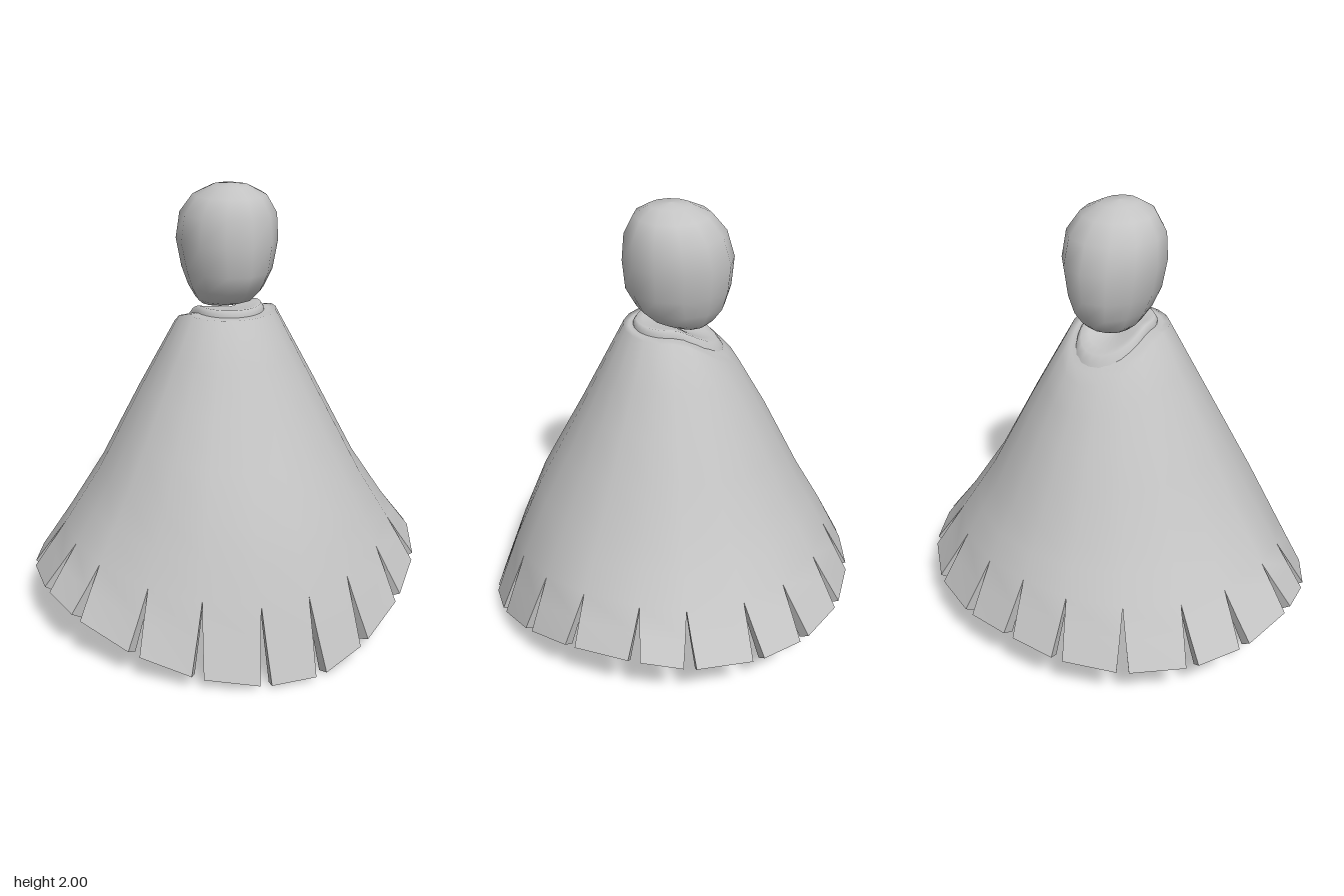
import * as THREE from 'three';
import { mergeVertices } from 'three/addons/utils/BufferGeometryUtils.js';

const SLIT = 4, HEM = 5;
const lerp = THREE.MathUtils.lerp;

// Cape outline as [radius, height]: collar base, shoulder, then down to the hem
const FRONT = [[0.15, 1.44], [0.2, 1.44], [0.4, 1.04], [0.61, 0.64], [0.735, 0.35], [0.855, 0.025]];
const SIDE = [[0.15, 1.44], [0.215, 1.44], [0.405, 1.09], [0.605, 0.71], [0.775, 0.45], [0.925, 0.255]];
const BACK = [[0.225, 1.34], [0.32, 1.25], [0.45, 1.02], [0.62, 0.68], [0.74, 0.47], [0.86, 0.235]];
const STEPS = [0, 0.5, 1, 1.5, 2, 2.5, 3, 3.5, 4, 4.5, 5];

// Slit angles in degrees from the front round to the back, mirrored for the other side
const HALF = [0, 17, 36.5, 55, 75, 90, 109, 125, 144, 163];
const SLITS = [...HALF, 180, ...HALF.slice(1).reverse().map(d => 360 - d), 360].map(THREE.MathUtils.degToRad);
const TABS = SLITS.length - 1;

function sample(profile, t) {
  const i = Math.min(Math.floor(t), profile.length - 2), f = t - i;
  return [0, 1].map(k => lerp(profile[i][k], profile[i + 1][k], f));
}

// Radius and height of the cape at angle a (0 = front, towards +x) and profile position t
function outline(a, t) {
  const c = Math.cos(a), s = Math.sin(a);
  const main = sample(c > 0 ? FRONT : BACK, t), side = sample(SIDE, t);
  // Uneven hem: lifted at the front left, drooping elsewhere, flared at the back corners
  const diagonal = Math.abs(2 * s * c) * Math.max(0, (t - 3) / 2);
  const rise = c > 0 ? (s > 0 ? 0.075 : -0.04) : (s > 0 ? -0.02 : -0.04);
  const flare = c > 0 ? -0.025 : 0.02;
  return [lerp(side[0], main[0], c * c) + flare * diagonal, lerp(side[1], main[1], c * c) + rise * diagonal];
}

// Point on the outer face (depth 0) or the lining (depth 1), set in along the normal
function capePoint(a, t, depth) {
  const [r, y] = outline(a, t);
  const [r0, y0] = outline(a, Math.max(0, t - 0.2)), [r1, y1] = outline(a, Math.min(HEM, t + 0.2));
  const thickness = 0.03 + 0.03 * Math.max(0, t - SLIT);
  const inset = depth * thickness / Math.hypot(r1 - r0, y1 - y0);
  const radius = r - (y0 - y1) * inset;
  return new THREE.Vector3(Math.sin(a) * radius, y - (r1 - r0) * inset, Math.cos(a) * radius);
}

// Angle of either side of a tab; the tabs narrow below the slit
function tabAngle(tab, u, t) {
  const gap = Math.max(0, t - SLIT) * 0.03;
  return lerp(SLITS[tab] + gap, SLITS[tab + 1] - gap, u);
}

const quad = (out, a, b, c, d) => out.push(a, b, c, a, c, d);

function surface(points, smooth = true) {
  let g = new THREE.BufferGeometry().setFromPoints(points);
  if (smooth) g = mergeVertices(g, 1e-4);
  g.computeVertexNormals();
  return g;
}

function capeShell(depth) {
  const out = [];
  for (let k = 0; k < TABS; k++) for (let j = 0; j + 1 < STEPS.length; j++) {
    const p = (u, t) => capePoint(tabAngle(k, u, t), t, depth);
    const q = [p(0, STEPS[j]), p(0, STEPS[j + 1]), p(1, STEPS[j + 1]), p(1, STEPS[j])];
    if (depth) q.reverse();
    quad(out, ...q);
  }
  return surface(out);
}

// Strips joining the outer face and lining at the hem, slits and neckline
function capeEdges() {
  const out = [];
  for (let k = 0; k < TABS; k++) {
    const strip = (u0, t0, u1, t1) => {
      const p = (u, t, depth) => capePoint(tabAngle(k, u, t), t, depth);
      quad(out, p(u0, t0, 0), p(u0, t0, 1), p(u1, t1, 1), p(u1, t1, 0));
    };
    strip(0, HEM, 1, HEM);
    strip(1, 0, 0, 0);
    for (const t of [SLIT, SLIT + 0.5]) {
      strip(0, t, 0, t + 0.5);
      strip(1, t + 0.5, 1, t);
    }
  }
  return surface(out, false);
}

// Skin over rings listed in order; point(a, ring) places each corner
function loft(rings, sides, point) {
  const out = [];
  for (let j = 0; j + 1 < rings.length; j++) for (let i = 0; i < sides; i++) {
    const a = i / sides * Math.PI * 2, b = (i + 1) % sides / sides * Math.PI * 2;
    quad(out, point(a, rings[j]), point(b, rings[j]), point(b, rings[j + 1]), point(a, rings[j + 1]));
  }
  return surface(out);
}

// Head rings: [height, half width, back z, front z]
const HEAD = [
  [1.435, 0.001, -0.1, -0.099], [1.455, 0.1, -0.18, 0.0], [1.48, 0.13, -0.21, 0.075],
  [1.535, 0.162, -0.252, 0.14], [1.62, 0.195, -0.277, 0.187], [1.75, 0.222, -0.288, 0.2],
  [1.87, 0.212, -0.252, 0.19], [1.95, 0.16, -0.185, 0.15], [1.99, 0.08, -0.1, 0.085],
  [2, 0.001, -0.01, -0.009],
];
function headPoint(a, [y, w, back, front]) {
  return new THREE.Vector3(0.01 + Math.sin(a) * w, y, (back + front) / 2 + Math.cos(a) * (front - back) / 2);
}

// Collar rings: [front radius, front height, back radius, back height]
const COLLAR = [[0.155, 1.42, 0.26, 1.29], [0.155, 1.45, 0.245, 1.33], [0.142, 1.47, 0.222, 1.362],
  [0.115, 1.465, 0.18, 1.38], [0.001, 1.45, 0.001, 1.43]];
function collarPoint(a, [rf, yf, rb, yb]) {
  const c = Math.cos(a), w = c < 0 ? c * c : 0;
  const r = lerp(rf, rb, w);
  return new THREE.Vector3(Math.sin(a) * r, lerp(yf, yb, w), c * r);
}

export function createModel() {
  const grey = new THREE.MeshStandardMaterial({ color: 0xc4c4c4, side: THREE.DoubleSide });
  grey.name = 'plain grey';
  const model = new THREE.Group();
  model.name = 'cloakedFigure';
  const add = (parent, name, geometry) => {
    const mesh = new THREE.Mesh(geometry, grey);
    mesh.name = name;
    parent.add(mesh);
  };

  const cape = new THREE.Group();
  cape.name = 'cape';
  add(cape, 'capeOutside', capeShell(0));
  add(cape, 'capeLining', capeShell(1));
  add(cape, 'capeEdges', capeEdges());
  model.add(cape);

  add(model, 'collar', loft(COLLAR, 32, collarPoint));
  add(model, 'head', loft(HEAD, 12, headPoint));
  return model;
}
